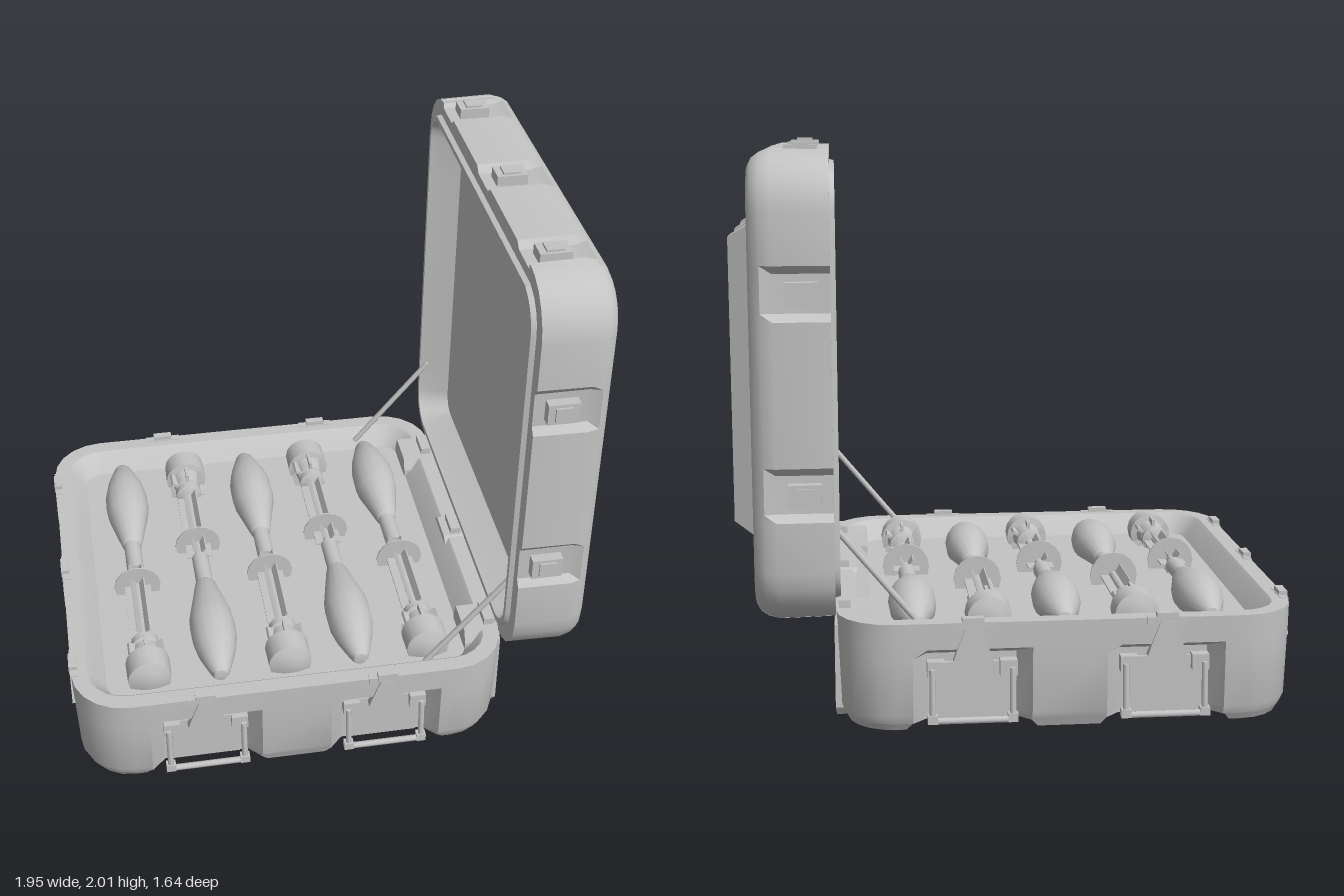
import * as THREE from 'three';
import { toCreasedNormals } from 'three/addons/utils/BufferGeometryUtils.js';

const grey = new THREE.MeshStandardMaterial({ color: 0xc4c4c4 });
grey.name = 'case grey';

function add(parent, name, geo, x = 0, y = 0, z = 0) {
  const m = new THREE.Mesh(geo, grey);
  m.name = name;
  m.position.set(x, y, z);
  parent.add(m);
  return m;
}
const box = (w, h, d) => new THREE.BoxGeometry(w, h, d);

// Skin stacked rings {y, pts:[[x,z]...]} and cap both ends
function loft(rings, crease = 0.6) {
  const flat = r => r.pts.map(p => new THREE.Vector2(p[0], -p[1]));
  if (THREE.ShapeUtils.area(flat(rings[rings.length - 1])) < 0) rings.forEach(r => r.pts.reverse());
  const n = rings[0].pts.length, pos = [], idx = [];
  for (const r of rings) for (const [x, z] of r.pts) pos.push(x, r.y, z);
  for (let i = 0; i < rings.length - 1; i++) for (let j = 0; j < n; j++) {
    const a = i * n + j, b = i * n + (j + 1) % n;
    idx.push(a, b, b + n, a, b + n, a + n);
  }
  const cap = (k, up) => {
    for (const [a, b, c] of THREE.ShapeUtils.triangulateShape(flat(rings[k]), []))
      idx.push(k * n + a, k * n + (up ? b : c), k * n + (up ? c : b));
  };
  cap(0, false);
  cap(rings.length - 1, true);
  const g = new THREE.BufferGeometry();
  g.setAttribute('position', new THREE.Float32BufferAttribute(pos, 3));
  g.setIndex(idx);
  return toCreasedNormals(g, crease);
}

// Rounded square outline with bevelled notches; each side is walked in turn
function outline(inset, cut, notches, depth) {
  const R = 0.8, r = Math.max(0.2 - inset, 0.07), pts = [];
  for (let s = 0; s < 4; s++) {
    const c = Math.cos(s * Math.PI / 2), n = Math.sin(s * Math.PI / 2);
    const put = (u, v) => pts.push([u * c - v * n, u * n + v * c]);
    for (const [u, outer, inner] of notches[s]) {
      const e = R - inset, d = cut ? Math.min(e, R - depth) : e;
      put(u + outer, e); put(u + inner, d); put(u - inner, d); put(u - outer, e);
    }
    const k = R - inset - r;
    for (let i = 0; i <= 5; i++) {
      const a = i / 5 * Math.PI / 2;
      put(-k - r * Math.sin(a), k + r * Math.cos(a));
    }
  }
  return pts;
}
const shell = (levels, notches, depth) => loft(levels.map(([y, inset, cut]) =>
  ({ y, pts: outline(inset, cut, notches, depth) })));

const rect = (x0, x1, z0, z1) => [[x0, z0], [x1, z0], [x1, z1], [x0, z1]];

// Strut between two points
function rod(parent, name, a, b, r) {
  const A = new THREE.Vector3(...a), B = new THREE.Vector3(...b);
  const m = add(parent, name, new THREE.CylinderGeometry(r, r, A.distanceTo(B), 8));
  m.position.copy(A).add(B).multiplyScalar(0.5);
  m.quaternion.setFromUnitVectors(new THREE.Vector3(0, 1, 0), B.sub(A).normalize());
}

// Triangular catch plate with its cap, facing +z
function catchPlate() {
  const g = new THREE.Group();
  g.name = 'catch';
  const s = new THREE.Shape([[-0.068, 0.27], [0.068, 0.27], [0.055, 0.31], [0.025, 0.39], [-0.025, 0.39], [-0.055, 0.31]]
    .map(p => new THREE.Vector2(...p)));
  add(g, 'catchPlate', new THREE.ExtrudeGeometry(s, { depth: 0.03, bevelEnabled: false }), 0, 0, -0.025);
  add(g, 'catchBase', box(0.14, 0.025, 0.03), 0, 0.395, -0.012);
  add(g, 'catchCap', box(0.075, 0.03, 0.03), 0, 0.408, -0.008);
  return g;
}

// Drop handle inside a recess, facing +z
function handle() {
  const g = new THREE.Group();
  g.name = 'handle';
  add(g, 'handlePlate', box(0.25, 0.19, 0.015), 0, 0.155, -0.065);
  for (const s of [-1, 1]) {
    add(g, 'handleBracket', box(0.06, 0.055, 0.04), s * 0.125, 0.232, -0.05);
    rod(g, 'handleArm', [s * 0.138, 0.235, -0.025], [s * 0.138, 0.05, -0.015], 0.011);
    add(g, 'handleFoot', box(0.035, 0.03, 0.03), s * 0.138, 0.062, -0.018);
  }
  rod(g, 'handleGrip', [-0.14, 0.055, -0.015], [0.14, 0.055, -0.015], 0.012);
  return g;
}

// Finned round lying along z, nose toward -z
function round() {
  const g = new THREE.Group();
  g.name = 'finnedRound';
  const lathe = p => toCreasedNormals(new THREE.LatheGeometry(p.map(q => new THREE.Vector2(...q)), 16).rotateX(-Math.PI / 2), 0.5);
  add(g, 'roundBody', lathe([[0, -0.02], [0.033, -0.02], [0.033, 0.135], [0.04, 0.145], [0.082, 0.33],
    [0.086, 0.38], [0.084, 0.46], [0.07, 0.53], [0.037, 0.63], [0.025, 0.65], [0, 0.655]]));
  add(g, 'tailRod', lathe([[0, -0.44], [0.018, -0.44], [0.018, 0], [0, 0]]));
  add(g, 'tailCup', lathe([[0, -0.65], [0.045, -0.643], [0.08, -0.63], [0.082, -0.535], [0.058, -0.53], [0.05, -0.47],
    [0.035, -0.465], [0.052, -0.455], [0.052, -0.425], [0.03, -0.415], [0, -0.415]]));
  add(g, 'tailRing', lathe([[0, -0.109], [0.09, -0.109], [0.09, -0.102], [0, -0.102]]));
  for (let i = 0; i < 6; i++) {
    const fin = add(g, 'fin', box(0.006, 0.035, 0.38).translate(0, 0.033, 0.215));
    fin.rotation.z = i * Math.PI / 3 + Math.PI / 6;
    const rib = add(g, 'cupRib', box(0.012, 0.03, 0.075).translate(0, 0.06, 0.5));
    rib.rotation.z = i * Math.PI / 3;
  }
  return g;
}

export function createModel() {
  const model = new THREE.Group();
  model.name = 'openCase';
  const CX = -0.17; // centre of the base in x

  // Base tub with handle recesses
  const base = new THREE.Group();
  base.name = 'base';
  model.add(base);
  const wide = [[0.338, 0.205, 0.155], [-0.33, 0.205, 0.155]], single = [[0, 0.2, 0.165]];
  const wideBack = wide.map(([u, a, b]) => [-u, a, b]).reverse();
  add(base, 'tub', shell([[0.045, 0.025, 1], [0.075, 0.012, 1], [0.28, 0.004, 1], [0.312, 0.002, 0], [0.405, 0, 0],
    [0.405, 0.06, 0], [0.395, 0.072, 0], [0.33, 0.125, 0]], [wide, single, wideBack, single], 0.075), CX);

  // Raised feet between the underside channels
  add(base, 'middleFoot', loft([{ y: 0, pts: rect(-0.26, -0.07, -0.71, 0.71) }, { y: 0.02, pts: rect(-0.275, -0.057, -0.765, 0.765) },
    { y: 0.05, pts: rect(-0.3, -0.032, -0.777, 0.777) }], 0.4));
  for (const sx of [-1, 1]) for (const sz of [-1, 1]) {
    const inX = sx > 0 ? 0.54 : 0.535;
    const ring = (y, o, i) => {
      const e = 0.8 - o, r = 0.2 - o, pts = [[inX + i, 0.2 + i], [e, 0.2 + i]];
      for (let k = 0; k <= 5; k++) {
        const a = k / 5 * Math.PI / 2;
        pts.push([e - r + r * Math.cos(a), e - r + r * Math.sin(a)]);
      }
      pts.push([inX + i, e]);
      return { y, pts: pts.map(([x, z]) => [CX + sx * x, sz * z]) };
    };
    add(base, 'cornerFoot', loft([ring(0, 0.09, 0.04), ring(0.02, 0.04, 0.025), ring(0.05, 0.023, 0)], 0.6));
  }

  // Catches and handles on the two long sides, catches on the left end
  for (const x of [-0.5, 0.168]) for (const s of [-1, 1])
    for (const part of [catchPlate(), handle()]) {
      part.position.set(x, 0, s * 0.8);
      part.rotation.y = s > 0 ? 0 : Math.PI;
      base.add(part);
    }
  for (const z of [-0.54, 0, 0.54]) {
    const c = catchPlate();
    c.position.set(-0.97, 0, z);
    c.rotation.y = -Math.PI / 2;
    base.add(c);
    add(base, 'hingeLug', box(0.04, 0.04, 0.1), 0.6, 0.415, z);
  }

  // Hinge blocks on the lid side
  for (const z of [-0.54, 0.54]) {
    const w = 0.09;
    add(base, 'hingeBlock', loft([{ y: 0.03, pts: rect(0.5, 0.632, z - w + 0.02, z + w - 0.02) },
      { y: 0.06, pts: rect(0.5, 0.636, z - w, z + w) }, { y: 0.36, pts: rect(0.5, 0.636, z - w, z + w) },
      { y: 0.408, pts: rect(0.5, 0.632, z - w + 0.02, z + w - 0.02) }], 0.2));
  }
  add(base, 'middleHinge', loft([{ y: 0.3, pts: rect(0.55, 0.636, -0.06, 0.06) }, { y: 0.32, pts: rect(0.55, 0.638, -0.085, 0.085) },
    { y: 0.39, pts: rect(0.55, 0.638, -0.085, 0.085) }, { y: 0.41, pts: rect(0.55, 0.636, -0.06, 0.06) }], 0.2));

  // Lid, modelled lying flat and then stood on edge
  const lid = new THREE.Group();
  lid.name = 'lid';
  lid.position.y = 1.19;
  lid.rotation.z = -Math.PI / 2;
  model.add(lid);
  const pair = [[0.335, 0.092, 0.065], [-0.335, 0.092, 0.065]];
  const trio = [[0.54, 0.092, 0.065], [0, 0.092, 0.065], [-0.54, 0.092, 0.065]];
  add(lid, 'lidShell', shell([[0.73, 0.13, 0], [0.65, 0.1, 0], [0.612, 0.09, 0], [0.612, 0.07, 0], [0.63, 0.065, 0], [0.63, 0.004, 1],
    [0.82, 0, 1], [0.86, 0.012, 0], [0.885, 0.03, 0], [0.9, 0.06, 0]], [pair, trio, pair, trio], 0.026));

  // Stiffening ribs on the outer face
  for (const z of [-0.405, 0, 0.405])
    add(lid, 'lidRib', loft([{ y: 0.895, pts: rect(-0.55, 0.54, z - 0.125, z + 0.125) },
      { y: 0.977, pts: rect(-0.5, 0.49, z - 0.072, z + 0.072) }], 0.2));

  // Latches in every lid notch
  for (let s = 0; s < 4; s++) for (const u of s % 2 ? [-0.54, 0, 0.54] : [-0.335, 0.335]) {
    const side = new THREE.Group();
    side.name = 'lidLatch';
    side.rotation.y = s * Math.PI / 2;
    add(side, 'latchBody', box(0.078, 0.11, 0.05), u, 0.725, s === 1 ? 0.775 : 0.787);
    add(side, 'latchLever', box(0.055, 0.06, 0.012), u, 0.725, s === 1 ? 0.802 : 0.814);
    lid.add(side);
  }

  // Lid stays
  for (const z of [-0.697, 0.697]) rod(model, 'lidStay', [0.33, 0.36, z], [0.64, 0.735, z], 0.011);

  // Five rounds lying head to tail
  for (let i = 0; i < 5; i++) {
    const r = round();
    r.position.set(-0.687 + i * 0.261, 0.365, 0);
    r.rotation.y = i % 2 ? Math.PI : 0;
    model.add(r);
  }
  return model;
}
